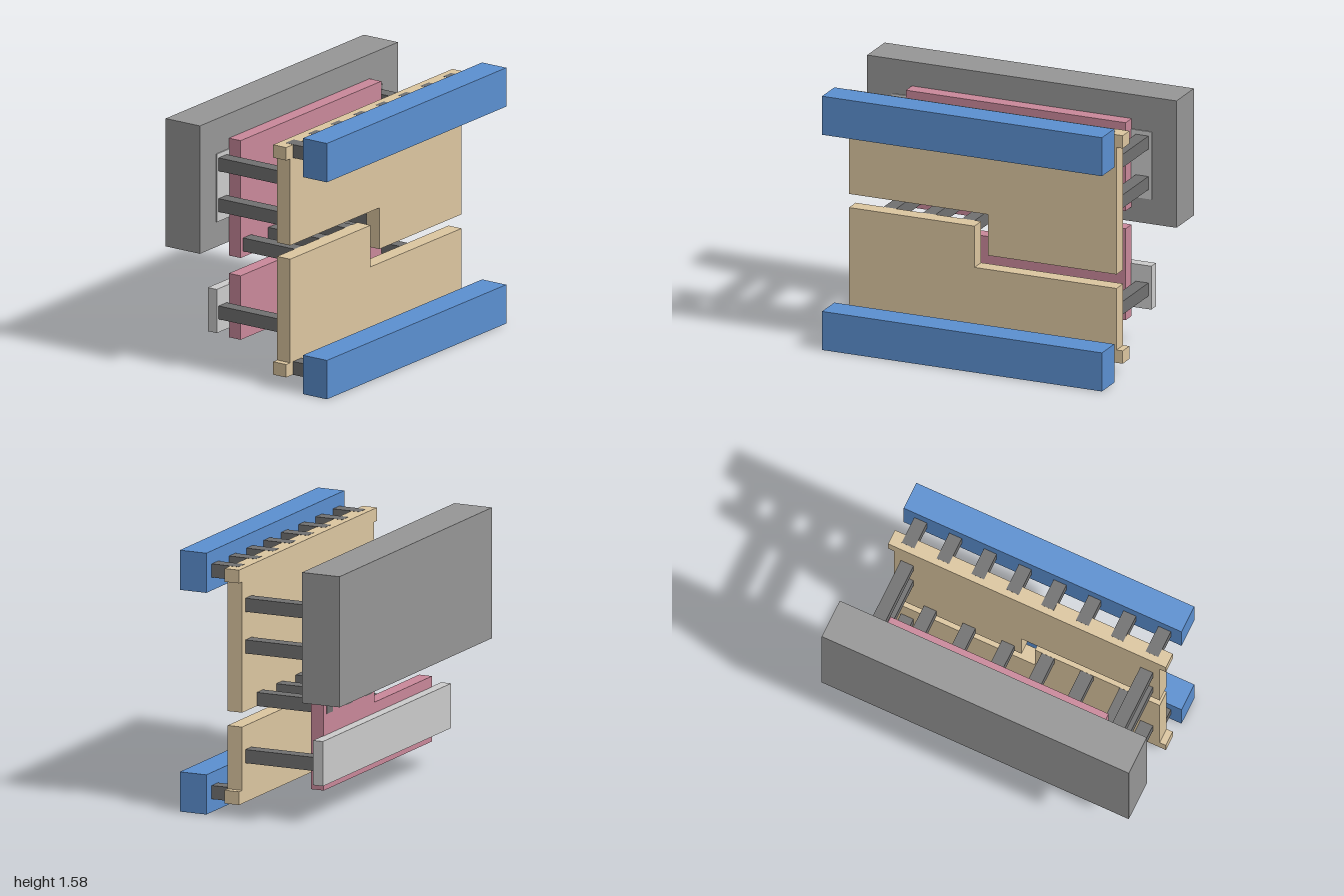
import * as THREE from 'three';

const mat = (color) => new THREE.MeshStandardMaterial({ color });

export function createModel() {
  const model = new THREE.Group();
  const blue = mat(0x5b8fd0), tan = mat(0xdcc6a0), pink = mat(0xc9889a);
  const darkGrey = mat(0x707070), midGrey = mat(0x969696), lightGrey = mat(0xcccccc);

  // box given by its extents
  function box(name, material, [x0, x1], [y0, y1], [z0, z1], parent = model) {
    const mesh = new THREE.Mesh(new THREE.BoxGeometry(x1 - x0, y1 - y0, z1 - z0), material);
    mesh.position.set((x0 + x1) / 2, (y0 + y1) / 2, (z0 + z1) / 2);
    mesh.name = name;
    parent.add(mesh);
  }

  // flat plate cut from an outline in x, y
  function plate(name, material, outline, z0, z1) {
    const shape = new THREE.Shape(outline.map(([x, y]) => new THREE.Vector2(x, y)));
    const geometry = new THREE.ExtrudeGeometry(shape, { depth: z1 - z0, bevelEnabled: false });
    const mesh = new THREE.Mesh(geometry, material);
    mesh.position.z = z0;
    mesh.name = name;
    model.add(mesh);
  }

  // square pin running along z
  const pins = new THREE.Group();
  pins.name = 'pins';
  model.add(pins);
  const pin = (name, x, y, z0, z1) =>
    box(name, darkGrey, [x - 0.041, x + 0.041], [y - 0.041, y + 0.041], [z0, z1], pins);

  // front bars
  box('lowerFrontBar', blue, [-0.905, 0.905], [0, 0.24], [0.375, 0.55]);
  box('upperFrontBar', blue, [-0.905, 0.905], [1.34, 1.58], [0.375, 0.55]);

  // stepped front plates with a wider lip along the outer edge
  plate('upperFrontPlate', tan, [
    [-0.865, 0.885], [0.035, 0.885], [0.035, 0.63], [0.865, 0.63], [0.865, 1.42],
    [0.905, 1.42], [0.905, 1.5], [-0.905, 1.5], [-0.905, 1.42], [-0.865, 1.42],
  ], 0.16, 0.255);
  plate('lowerFrontPlate', tan, [
    [-0.905, 0.08], [0.905, 0.08], [0.905, 0.16], [0.865, 0.16], [0.865, 0.543],
    [-0.053, 0.543], [-0.053, 0.8], [-0.865, 0.8], [-0.865, 0.16], [-0.905, 0.16],
  ], 0.16, 0.255);

  // stepped rear plates
  plate('upperRearPlate', pink, [
    [-0.71, 0.68], [-0.065, 0.68], [-0.065, 0.855], [0.71, 0.855], [0.71, 1.405], [-0.71, 1.405],
  ], -0.3, -0.215);
  plate('lowerRearPlate', pink, [
    [-0.71, 0.175], [0.71, 0.175], [0.71, 0.745], [0.042, 0.745], [0.042, 0.57], [-0.71, 0.57],
  ], -0.3, -0.215);

  // rear block, its mounting panel and the lower rear bar
  box('rearBlock', midGrey, [-1, 1], [0.765, 1.555], [-0.55, -0.302]);
  box('rearBlockPanel', lightGrey, [-0.84, 0.84], [0.92, 1.34], [-0.36, -0.295]);
  box('lowerRearBar', lightGrey, [-0.84, 0.84], [0.235, 0.505], [-0.36, -0.295]);

  // short pins from the front bars to the plate lips
  for (let i = 0; i < 8; i++) {
    const x = -0.795 + i * 0.227;
    pin('upperBarPin', x, 1.46, 0.2, 0.38);
    pin('lowerBarPin', x, 0.12, 0.2, 0.38);
  }

  // long pins at the sides, reaching the rear block and bar
  for (const x of [-0.78, 0.78]) {
    for (const y of [1.272, 1.02, 0.357]) pin('sidePin', x, y, -0.3, 0.17);
  }

  // pins crossing between the stepped plates
  for (const x of [0.122, 0.376, 0.63]) {
    pin('leftStepPin', x, 0.671, -0.301, 0.17);
    pin('rightStepPin', -x - 0.015, 0.757, -0.301, 0.17);
  }
  return model;
}
